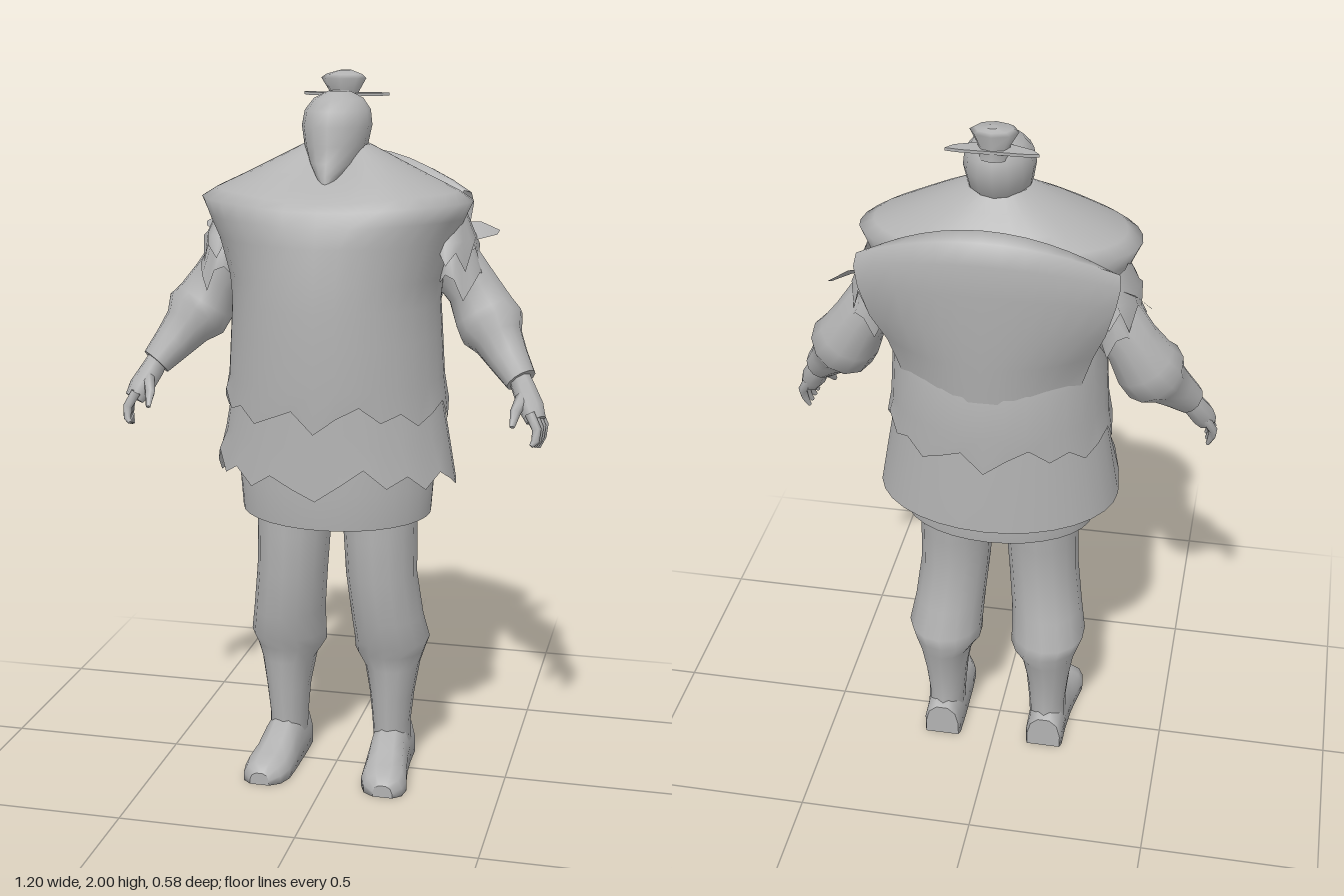
import * as THREE from 'three';

const cloth = new THREE.MeshStandardMaterial({ color: 0xb2b2b2, side: THREE.DoubleSide });
cloth.name = 'plain grey';
const V = (x, y, z) => new THREE.Vector3(x, y, z);

// Skin a surface over rows of points; closed rows wrap round, caps fill the ends
function loft(rows, { closed = true, capStart = false, capEnd = false } = {}) {
  const n = rows[0].length, pos = [], idx = [];
  rows.forEach(r => r.forEach(p => pos.push(p.x, p.y, p.z)));
  for (let i = 0; i < rows.length - 1; i++) {
    for (let j = 0; j < (closed ? n : n - 1); j++) {
      const k = (j + 1) % n, a = i * n, b = a + n;
      idx.push(a + j, a + k, b + k, a + j, b + k, b + j);
    }
  }
  const cap = (row, flip) => {
    const start = pos.length / 3;
    const c = V(0, 0, 0);
    row.forEach(p => { c.add(p); pos.push(p.x, p.y, p.z); });
    c.divideScalar(n);
    pos.push(c.x, c.y, c.z);
    for (let j = 0; j < n; j++) {
      const a = start + j, b = start + (j + 1) % n;
      idx.push(start + n, flip ? b : a, flip ? a : b);
    }
  };
  if (capStart) cap(rows[0], true);
  if (capEnd) cap(rows[rows.length - 1], false);
  const g = new THREE.BufferGeometry();
  g.setAttribute('position', new THREE.Float32BufferAttribute(pos, 3));
  g.setIndex(idx);
  g.computeVertexNormals();
  return g;
}

// Level oval ring: half width a, front reach f, back reach b; q < 1 squares the
// sides, jag(j, t) lifts points
function oval(y, a, f, b, { q = 1, jag = () => 0 } = {}) {
  const n = 32;
  return Array.from({ length: n }, (_, j) => {
    const t = j / n * Math.PI * 2, c = Math.cos(t), s = Math.sin(t);
    return V(a * Math.sign(s) * Math.abs(s) ** q, y + jag(j, t), c * (c > 0 ? f : b));
  });
}

// Oval ring given by its x and z extents
function span(y, x0, x1, zBack, zFront, n = 14) {
  return Array.from({ length: n }, (_, j) => {
    const t = j / n * Math.PI * 2;
    return V((x0 + x1) / 2 + (x1 - x0) / 2 * Math.sin(t), y,
      (zBack + zFront) / 2 + (zFront - zBack) / 2 * Math.cos(t));
  });
}

// Round limb through stations [x, y, z, radius]
function limb(stations, n = 12) {
  const pts = stations.map(s => V(s[0], s[1], s[2]));
  const last = pts.length - 1;
  return loft(stations.map((s, i) => {
    const d = pts[Math.min(i + 1, last)].clone().sub(pts[Math.max(i - 1, 0)]).normalize();
    const u = V(0, 0, 1).cross(d).normalize(), v = d.clone().cross(u);
    return Array.from({ length: n }, (_, j) => {
      const t = j / n * Math.PI * 2;
      return pts[i].clone().addScaledVector(u, s[3] * Math.cos(t)).addScaledVector(v, s[3] * Math.sin(t));
    });
  }), { capEnd: true });
}

const part = (parent, name, geometry) => {
  const m = new THREE.Mesh(geometry, cloth);
  m.name = name;
  parent.add(m);
  return m;
};

function addLeg(side) {
  part(side, 'trouserLeg', loft([
    [0.06, .104, .212, -.125, .035], [0.13, .10, .21, -.12, .035], [0.22, .092, .22, -.13, .045],
    [0.31, .075, .235, -.15, .05], [0.355, .046, .25, -.165, .06], [0.39, .046, .263, -.165, .075],
    [0.47, .042, .248, -.135, .1], [0.6, .03, .232, -.115, .118], [0.72, .022, .23, -.125, .12],
    [0.86, .015, .23, -.14, .12],
  ].map(r => span(...r)), { capStart: true }));

  // Shoe: upright sections run from heel to toe
  const sections = [[-.13, .157, .05, .1], [-.115, .157, .055, .12], [-.04, .157, .056, .14], [.03, .16, .058, .125],
    [.09, .165, .062, .09], [.15, .172, .066, .07], [.19, .177, .055, .058], [.21, .18, .028, .035]];
  part(side, 'shoe', loft(sections.map(([z, cx, w, h]) => [
    [1, 0], [1, .4], [.8, .8], [.35, 1], [-.35, 1], [-.8, .8], [-1, .4], [-1, 0],
  ].map(([x, y]) => V(cx + x * w, y * h, z))), { capStart: true, capEnd: true }));
}

function addArm(side) {
  // Sleeve flares to the elbow, then closes on the forearm
  part(side, 'sleeve', limb([[.24, 1.55, -.065, .08], [.32, 1.475, -.075, .078], [.365, 1.415, -.08, .075],
    [.4, 1.35, -.07, .088], [.425, 1.315, -.055, .094], [.447, 1.282, -.032, .07], [.48, 1.238, 0, .057], [.52, 1.188, .033, .044]]));
  // Torn shoulder layers, ragged along the lower edge
  const torn = (name, rows, rag) => part(side, name, loft(rows.map((r, i) =>
    span(...r, 16).map((p, j) => (i ? p : p.setY(p.y + rag[j % rag.length]))))));
  torn('tornSleeveUpper', [[1.5, .25, .385, -.19, .095], [1.56, .25, .375, -.175, .08], [1.63, .24, .345, -.15, .04]],
    [0, .035, -.02, .05]);
  torn('tornSleeveLower', [[1.43, .27, .4, -.165, .06], [1.53, .26, .375, -.15, .03]], [.03, -.03, .01, .04]);
  part(side, 'sleeveTatter', loft([
    [V(.33, 1.59, -.13), V(.33, 1.54, -.05)], [V(.375, 1.59, -.15), V(.38, 1.55, -.09)], [V(.425, 1.565, -.17), V(.42, 1.555, -.15)],
  ], { closed: false }));
  // Hand with curled fingers
  part(side, 'palm', limb([[.512, 1.2, .03, .03], [.53, 1.165, .045, .033], [.555, 1.12, .07, .035], [.57, 1.09, .085, .028]], 8));
  for (let i = 0; i < 4; i++) {
    const z = .052 + i * .02, x = .577 - i * .004;
    part(side, 'finger', limb([[x - .01, 1.115, z, .014], [x + .012, 1.075, z + .012, .013],
      [x + .01, 1.045, z + .022, .011], [x, 1.015 + i * .006, z + .03, .006]], 6));
  }
  part(side, 'thumb', limb([[.53, 1.15, .07, .018], [.516, 1.115, .105, .015], [.512, 1.08, .135, .007]], 6));
}

export function createModel() {
  const model = new THREE.Group();
  model.name = 'robedFigure';

  // Tunic body with a ragged hem, squared shoulders and a dipped collar
  const rag = j => [.0, .045, .075, .03, .05, .01, .035, .06][j % 8] - .035;
  const dip = depth => (j, t) => -depth * Math.max(0, Math.cos(t)) ** 8;
  part(model, 'tunic', loft([
    oval(1.1, .315, .285, .258, { jag: rag }),
    ...[[1.18, .302, .29, .262], [1.3, .295, .29, .258], [1.39, .29, .288, .23], [1.46, .297, .283, .185],
      [1.56, .328, .271, .18]].map(r => oval(...r)),
    ...[[1.62, .355, .257, .183, .01], [1.665, .376, .24, .185, .015], [1.69, .335, .222, .183, .02],
      [1.73, .25, .18, .165, .03], [1.77, .17, .125, .12, .05], [1.81, .09, .05, .08, .04]]
      .map(([y, a, f, b, depth]) => oval(y, a, f, b, { q: .85, jag: dip(depth) })),
  ], { capEnd: true }));

  // Robe skirt: torn in front, straight at the back
  const frontRag = (j, t) => Math.cos(t) < -.15 ? 0 : [0, .045, .09, .035, .065, .02, .06, .03][j % 8];
  part(model, 'robeSkirt', loft([
    oval(.875, .34, .268, .258, { jag: frontRag }), oval(1.02, .315, .265, .255), oval(1.16, .29, .262, .25),
  ]));
  part(model, 'underSkirt', loft([
    oval(.775, .27, .205, .2, { jag: (j, t) => .012 * (1 - Math.cos(t)) }),
    oval(.88, .277, .215, .21), oval(1.05, .27, .21, .2),
  ], { capStart: true }));

  // Loose robe back: grows out of the tunic and stands away from the shoulders
  const across = Array.from({ length: 13 }, (_, i) => 1 - i / 6);
  const backRows = [[1.24, .22, -.252, .1, 0], [1.32, .25, -.262, .12, 0], [1.4, .275, -.273, .115, 0],
    [1.5, .31, -.283, .085, .01], [1.62, .335, -.292, .08, .04], [1.71, .345, -.295, .09, .075],
    [1.765, .34, -.275, .085, .1], [1.78, .32, -.235, .05, .11], [1.75, .3, -.2, .03, .11]];
  part(model, 'robeBack', loft(backRows.map(([y, w, z, bend, drop]) =>
    across.map(s => V(w * s, y - drop * s * s, z + bend * s * s))), { closed: false }));

  // Head: pointed chin, smooth crown
  part(model, 'head', loft([
    [1.7, -.008, .008, .11, .145], [1.735, -.04, .04, .02, .14], [1.765, -.065, .065, -.06, .132],
    [1.81, -.085, .085, -.1, .118], [1.86, -.094, .094, -.118, .117], [1.9, -.088, .088, -.118, .1],
    [1.93, -.066, .066, -.1, .065], [1.948, -.03, .03, -.06, .015],
  ].map(r => span(...r)), { capStart: true, capEnd: true }));

  // Topknot and its crosswise pin
  part(model, 'topknot', loft([
    [1.91, -.04, .04, -.12, -.05], [1.945, -.042, .042, -.118, -.05], [1.98, -.063, .063, -.128, -.03],
    [1.99, -.05, .05, -.125, -.045], [2, -.015, .015, -.12, -.09],
  ].map(r => span(...r, 8)), { capEnd: true }));
  const leaf = new THREE.Shape([[-.12, .115], [-.08, .12], [.08, .12], [.12, .115], [.1, .09], [.04, .065], [-.04, .065], [-.1, .09]]
    .map(([x, y]) => new THREE.Vector2(x, y)));
  const pin = new THREE.ExtrudeGeometry(leaf, { depth: .008, bevelEnabled: false });
  pin.rotateX(-Math.PI / 2);
  part(model, 'hairPin', pin).position.y = 1.932;

  // Limbs, mirrored across the middle
  for (const s of [1, -1]) {
    const side = new THREE.Group();
    side.name = s > 0 ? 'leftLimbs' : 'rightLimbs';
    addLeg(side);
    addArm(side);
    side.scale.x = s;
    model.add(side);
  }
  return model;
}
